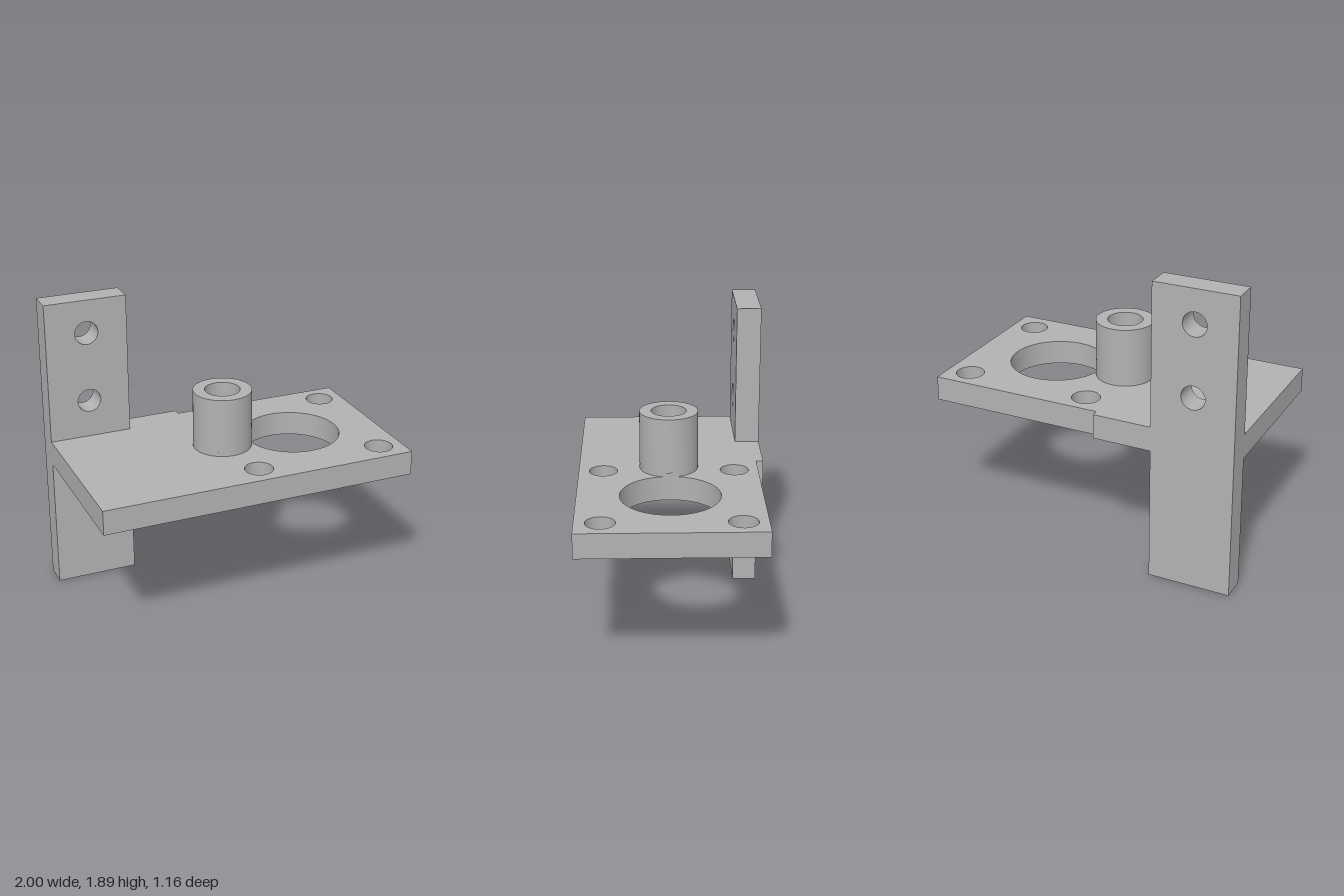
import * as THREE from 'three';
import { toCreasedNormals } from 'three/addons/utils/BufferGeometryUtils.js';

const SEGMENTS = 32;

function addHole(shape, x, y, r) {
  shape.holes.push(new THREE.Path().absarc(x, y, r, 0, Math.PI * 2, true));
}

function extrude(shape, depth) {
  return new THREE.ExtrudeGeometry(shape, { depth, bevelEnabled: false, curveSegments: SEGMENTS });
}

// Extrudes a plan shape (drawn as x, -z) upward between two heights.
function slab(shape, y0, y1) {
  const geometry = extrude(shape, y1 - y0);
  geometry.rotateX(-Math.PI / 2);
  geometry.translate(0, y0, 0);
  return toCreasedNormals(geometry, 0.6);
}

export function createModel() {
  const group = new THREE.Group();
  const grey = new THREE.MeshStandardMaterial({ color: 0xb2b2b2 });
  grey.name = 'grey';

  function add(name, geometry) {
    const mesh = new THREE.Mesh(geometry, grey);
    mesh.name = name;
    group.add(mesh);
  }

  const plateBottom = 0.845, plateTop = 1.0, counterboreFloor = 0.9;
  const centreZ = 0.02;
  const bore = { x: 0.445, r: 0.303 };
  const boss = { x: -0.03, r: 0.182, inner: 0.109 };

  // Base plate outline, notched where the post passes through
  function plateShape(screwRadius) {
    const shape = new THREE.Shape([
      [-1, -0.58], [1, -0.58], [1, 0.535], [-0.11, 0.535],
      [-0.11, 0.58], [-0.48, 0.58], [-0.48, 0.425], [-1, 0.425],
    ].map(([x, y]) => new THREE.Vector2(x, y)));
    addHole(shape, bore.x, -centreZ, bore.r);
    for (const x of [0.035, 0.85]) {
      for (const z of [-0.387, 0.427]) addHole(shape, x, -z, screwRadius);
    }
    return shape;
  }

  // Narrow screw holes below, wide counterbores above
  add('plateLower', slab(plateShape(0.046), plateBottom, counterboreFloor));
  add('plateUpper', slab(plateShape(0.088), counterboreFloor, plateTop));

  // Upright post with two through holes
  const post = new THREE.Shape([
    [-1, 0], [-0.48, 0], [-0.48, 1.895], [-1, 1.895],
  ].map(([x, y]) => new THREE.Vector2(x, y)));
  for (const y of [1.24, 1.685]) addHole(post, -0.74, y, 0.074);
  const postGeometry = extrude(post, 0.155);
  postGeometry.translate(0, 0, -0.58);
  add('post', toCreasedNormals(postGeometry, 0.6));

  // Foot of the boss, trimmed by the large bore
  const notchTop = 1.025;
  const d = bore.x - boss.x;
  const a = (d * d + boss.r ** 2 - bore.r ** 2) / (2 * d);
  const bossAngle = Math.acos(a / boss.r);
  const boreAngle = Math.acos((d - a) / bore.r);
  const foot = new THREE.Shape();
  foot.absarc(boss.x, -centreZ, boss.r, bossAngle, Math.PI * 2 - bossAngle, false);
  foot.absarc(bore.x, -centreZ, bore.r, Math.PI + boreAngle, Math.PI - boreAngle, true);
  addHole(foot, boss.x, -centreZ, boss.inner);
  add('bossFoot', slab(foot, plateTop, notchTop));

  // Hollow boss
  const ring = new THREE.Shape();
  ring.absarc(boss.x, -centreZ, boss.r, 0, Math.PI * 2, false);
  addHole(ring, boss.x, -centreZ, boss.inner);
  add('boss', slab(ring, notchTop, 1.37));

  return group;
}
